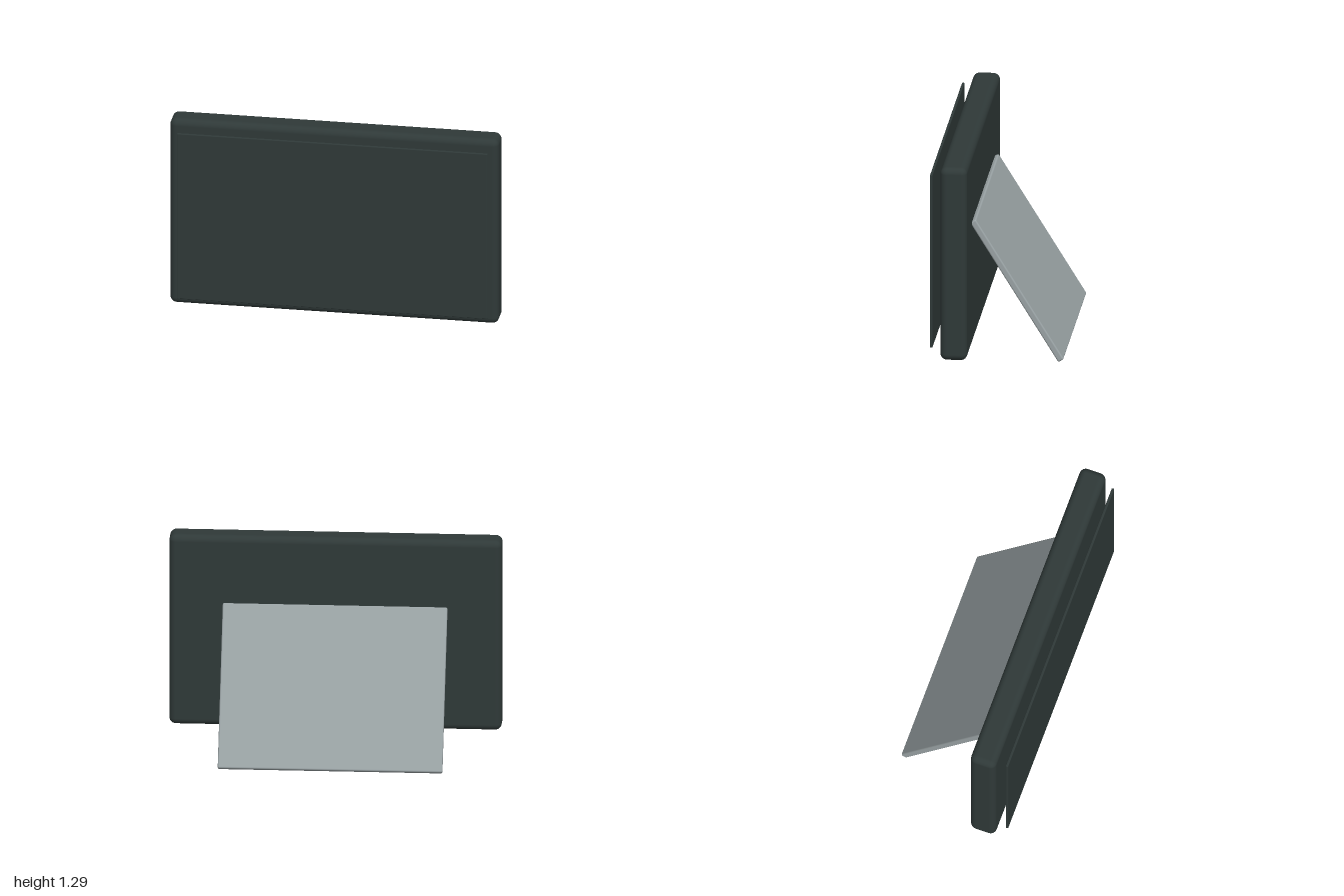
import * as THREE from 'three';
import { RoundedBoxGeometry } from 'three/addons/geometries/RoundedBoxGeometry.js';

export function createModel() {
  const model = new THREE.Group();
  model.name = 'tabletDisplay';

  const dark = new THREE.MeshStandardMaterial({ color: 0x2f3938 });
  dark.name = 'charcoal';
  const grey = new THREE.MeshStandardMaterial({ color: 0x99a2a4 });
  grey.name = 'grey';

  // Rounded slab of the given size, placed by its centre
  const slab = (name, size, radius, material, y, z) => {
    const mesh = new THREE.Mesh(new RoundedBoxGeometry(...size, 4, radius), material);
    mesh.name = name;
    mesh.position.set(0, y, z);
    model.add(mesh);
    return mesh;
  };

  // Casing with softly rounded edges
  slab('casing', [2, 1.21, 0.162], 0.04, dark, 0.695, 0.244);

  // Thin screen panel floating in front of the casing
  slab('screen', [1.89, 1.086, 0.016], 0.005, dark, 0.697, 0.383);

  // Kickstand leaning against the back
  const stand = slab('kickstand', [1.352, 1.014, 0.04], 0.01, grey, 0.444, -0.107);
  stand.rotation.x = 0.554;

  return model;
}
